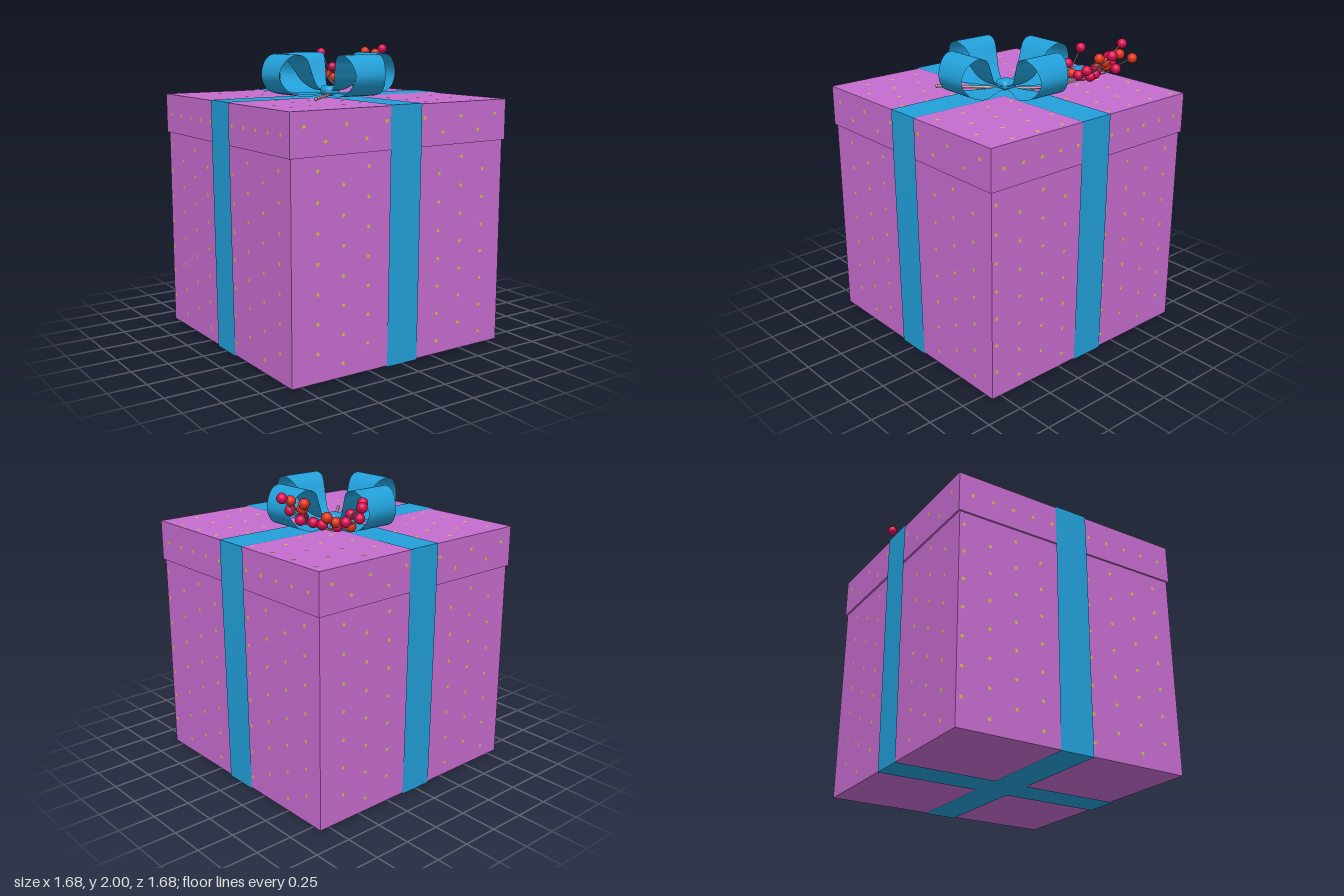
import * as THREE from 'three';
import { mergeGeometries, toCreasedNormals } from 'three/addons/utils/BufferGeometryUtils.js';
import { RoundedBoxGeometry } from 'three/addons/geometries/RoundedBoxGeometry.js';

const mat = (name, color, side = THREE.FrontSide) => {
  const m = new THREE.MeshStandardMaterial({ color, side });
  m.name = name;
  return m;
};

// Sheet that follows [x, y] points, with half-width along z given by a function of x
function strip(points, halfWidth) {
  const pos = [], index = [];
  points.forEach(([x, y], i) => {
    const w = halfWidth(x);
    pos.push(x, y, w, x, y, -w);
    if (i) {
      const a = 2 * i - 2;
      index.push(a, a + 2, a + 1, a + 1, a + 2, a + 3);
    }
  });
  const g = new THREE.BufferGeometry();
  g.setAttribute('position', new THREE.Float32BufferAttribute(pos, 3));
  g.setIndex(index);
  g.computeVertexNormals();
  return g;
}

export function createModel() {
  const model = new THREE.Group();
  model.name = 'giftBox';
  const paper = mat('purple paper', 0xc66ccf);
  const gold = mat('gold dots', 0xd0c03c);
  const ribbon = mat('blue ribbon', 0x22a0da, THREE.DoubleSide);
  const crimson = mat('crimson berry', 0xd8084f);
  const scarlet = mat('scarlet berry', 0xdb3119);
  const bark = mat('twig bark', 0xb5949a);

  const add = (name, geometry, material, parent = model) => {
    const m = new THREE.Mesh(geometry, material);
    m.name = name;
    parent.add(m);
    return m;
  };

  // Box and lid
  add('boxBody', new THREE.BoxGeometry(1.645, 1.4, 1.645).translate(0, 0.706, 0), paper);
  add('lid', new THREE.BoxGeometry(1.67, 0.27, 1.67).translate(0, 1.525, 0), paper);

  // Polka dots in staggered columns, skipping the ribbon
  const dots = [];
  const dot = (u, v, depth, turn) => {
    if (Math.abs(u) < 0.13) return;
    dots.push(new THREE.CircleGeometry(0.012, 8).translate(u, v, depth).rotateY(turn));
  };
  for (let side = 0; side < 4; side++) {
    const turn = side * Math.PI / 2;
    const odd = side % 2;
    const start = odd ? -0.79 : -0.64;
    for (let c = 0; c < (odd ? 9 : 8); c++) {
      for (let r = 0; r < 7; r++) {
        dot(start + c * 0.185, (c % 2 ? 0.095 : 0.19) + r * 0.1855, 0.8245, turn);
      }
    }
    for (let c = 0; c < 11; c++) {
      const y = odd ? 1.52 : c % 2 ? 1.475 : 1.57;
      dot(-0.74 + c * 0.148, y, 0.837, turn);
    }
  }
  for (let c = 0; c < 9; c++) {
    for (let r = 0; r < 8; r++) {
      const x = -0.7 + c * 0.186, z = (c % 2 ? -0.64 : -0.75) + r * 0.198;
      if (Math.abs(x) < 0.13 || Math.abs(z) < 0.13) continue;
      dots.push(new THREE.CircleGeometry(0.013, 8).rotateX(-Math.PI / 2).translate(x, 1.662, z));
    }
  }
  add('polkaDots', mergeGeometries(dots), gold);

  // Two ribbon bands wrapped all the way round
  for (let i = 0; i < 2; i++) {
    const top = 1.664 + i * 0.001, base = 0.001 - i * 0.001;
    const loop = [[-0.828, base], [0.828, base], [0.842, 1.39], [0.842, top],
      [-0.842, top], [-0.842, 1.39], [-0.828, base]].reverse();
    const band = add('ribbonBand', toCreasedNormals(strip(loop, () => 0.12), 0.5), ribbon);
    band.rotation.y = i * Math.PI / 2;
  }

  // Bow: four teardrop loops and a knot
  const bow = new THREE.Group();
  bow.name = 'bow';
  model.add(bow);
  const profile = [[0.02, 1.68], [0.2, 1.674], [0.33, 1.682], [0.42, 1.72], [0.47, 1.81],
    [0.43, 1.91], [0.35, 1.95], [0.27, 1.92], [0.22, 1.84], [0.17, 1.76], [0.1, 1.71], [0.02, 1.7]];
  const curve = new THREE.CatmullRomCurve3(profile.map(([x, y]) => new THREE.Vector3(x, y, 0)));
  const loopPoints = curve.getPoints(60).map(p => [p.x, p.y]).reverse();
  const loopWidth = x => 0.04 + 0.107 * THREE.MathUtils.smoothstep(x, 0.05, 0.33)
    - 0.03 * (Math.max(0, x - 0.35) / 0.12) ** 2;
  const loopGeometry = strip(loopPoints, loopWidth);
  for (let i = 0; i < 4; i++) {
    add('bowLoop', loopGeometry, ribbon, bow).rotation.y = i * Math.PI / 2;
  }
  add('bowKnot', new RoundedBoxGeometry(0.115, 0.07, 0.115, 4, 0.034).translate(0, 1.7, 0), ribbon, bow);

  // Berry sprig tucked under the bow
  const sprig = new THREE.Group();
  sprig.name = 'berrySprig';
  model.add(sprig);
  const twig = (name, radius, ...pts) => {
    const path = new THREE.CatmullRomCurve3(pts.map(p => new THREE.Vector3(...p)));
    add(name, new THREE.TubeGeometry(path, 10, radius, 6), bark, sprig);
  };
  const fork = [0.21, 1.685, -0.2];
  const low = [0.25, 1.7, -0.28], mid = [0.33, 1.745, -0.42], out = [0.42, 1.765, -0.25];
  twig('mainStem', 0.01, [-0.33, 1.676, 0.33], [-0.12, 1.674, 0.12], [0.1, 1.674, -0.1], fork);
  twig('innerBranch', 0.007, fork, low, mid);
  twig('outerBranch', 0.007, fork, [0.3, 1.715, -0.22], out);
  add('stemTip', new THREE.SphereGeometry(0.0115, 8, 6).translate(-0.33, 1.676, 0.33), bark, sprig);

  // Each cluster: branch end, then berries as [x, y, z, isScarlet]
  const clusters = [
    [low, [[0.2, 1.905, -0.5, 0], [0.195, 1.815, -0.385, 0], [0.27, 1.765, -0.35, 1]]],
    [mid, [[0.39, 1.935, -0.7, 0], [0.34, 1.85, -0.625, 0], [0.41, 1.83, -0.58, 0],
      [0.32, 1.78, -0.525, 1], [0.43, 1.82, -0.51, 1], [0.38, 1.78, -0.47, 0],
      [0.525, 1.82, -0.5, 0], [0.575, 1.885, -0.6, 1]]],
    [out, [[0.61, 1.945, -0.435, 1], [0.475, 1.8, -0.355, 0], [0.56, 1.895, -0.355, 1],
      [0.67, 1.966, -0.3, 0], [0.585, 1.935, -0.275, 1], [0.51, 1.805, -0.275, 0],
      [0.45, 1.81, -0.23, 0], [0.54, 1.86, -0.21, 0]]],
  ];
  const berryGeometry = new THREE.SphereGeometry(0.034, 20, 14);
  for (const [root, berries] of clusters) {
    for (const [x, y, z, isScarlet] of berries) {
      const bend = [(root[0] + x) / 2, (root[1] + y) / 2 - 0.012, (root[2] + z) / 2];
      twig('berryTwig', 0.0045, root, bend, [x, y, z]);
      add('berry', berryGeometry, isScarlet ? scarlet : crimson, sprig).position.set(x, y, z);
    }
  }
  return model;
}
